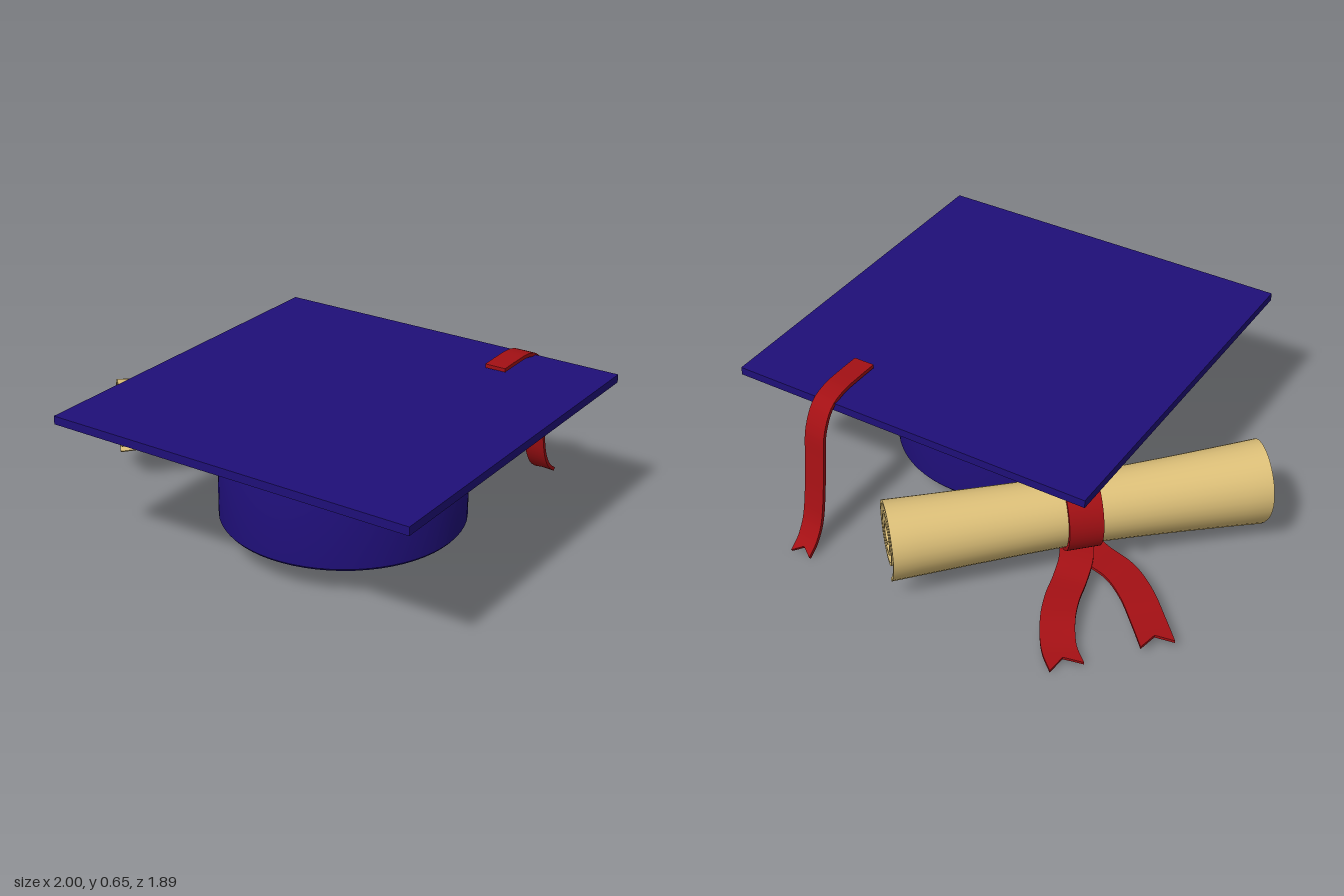
import * as THREE from 'three';
import { toCreasedNormals } from 'three/addons/utils/BufferGeometryUtils.js';

const V = (x, y, z) => new THREE.Vector3(x, y, z);
const UP = V(0, 1, 0);
const material = (color) => new THREE.MeshStandardMaterial({ color, side: THREE.DoubleSide });

function addMesh(parent, name, geometry, mat) {
  const mesh = new THREE.Mesh(geometry, mat);
  mesh.name = name;
  parent.add(mesh);
  return mesh;
}

// Flat ribbon swept along a curve; notch is the part of the length cut as a V at the end
function ribbon(curve, halfWidth, { side = null, notch = 0, thickness = 0.016, segments = 40 } = {}) {
  const positions = [], index = [];
  const section = [[-1, 1], [0, 1], [1, 1], [1, -1], [0, -1], [-1, -1]];
  const rows = segments + 3;
  for (let i = 0; i < rows; i++) {
    const t = Math.min(Math.max((i - 1) / segments, 0), 1);
    const half = i === 0 || i === rows - 1 ? 0 : thickness / 2; // pinched rows close the ends
    for (const [across, out] of section) {
      const u = across === 0 ? Math.min(t, 1 - notch) : t;
      const tangent = curve.getTangentAt(u);
      const s = side ? side.clone() : tangent.clone().cross(UP).normalize();
      const n = s.clone().cross(tangent).normalize();
      const p = curve.getPointAt(u).addScaledVector(s, across * halfWidth).addScaledVector(n, out * half);
      positions.push(p.x, p.y, p.z);
    }
  }
  for (let i = 0; i < rows - 1; i++) {
    for (let j = 0; j < 6; j++) {
      const a = i * 6 + j, b = i * 6 + ((j + 1) % 6);
      index.push(a, b, a + 6, b, b + 6, a + 6);
    }
  }
  const geometry = new THREE.BufferGeometry();
  geometry.setAttribute('position', new THREE.Float32BufferAttribute(positions, 3));
  geometry.setIndex(index);
  return toCreasedNormals(geometry, 0.7);
}

// Rolled sheet: a thick spiral with a loose outer flap, extruded and pinched in the middle
function scrollGeometry() {
  const line = [[0.055, -0.195], [0.085, -0.162], [0.115, -0.122], [0.136, -0.088]]
    .map(([x, y]) => new THREE.Vector2(x, y));
  const turns = 2.9, steps = 90;
  for (let i = 0; i <= steps; i++) {
    const k = i / steps, angle = -0.35 + k * turns * Math.PI * 2;
    const r = 0.158 - k * 0.125;
    line.push(new THREE.Vector2(Math.cos(angle) * r, Math.sin(angle) * r));
  }
  const offset = (d) => line.map((p, i) => {
    const dir = line[Math.min(i + 1, line.length - 1)].clone().sub(line[Math.max(i - 1, 0)]).normalize();
    return new THREE.Vector2(p.x + dir.y * d, p.y - dir.x * d);
  });
  const shape = new THREE.Shape([...offset(0.007), ...offset(-0.007).reverse()]);
  const length = 1.5;
  const geometry = new THREE.ExtrudeGeometry(shape, { depth: length, steps: 14, bevelEnabled: false });
  geometry.translate(0, 0, -length / 2);
  const pos = geometry.attributes.position;
  for (let i = 0; i < pos.count; i++) {
    const k = pos.getZ(i) / (length / 2);
    const scale = 0.82 + (k < 0 ? 0.19 : 0.12) * Math.pow(Math.abs(k), 1.4);
    pos.setXY(i, pos.getX(i) * scale, pos.getY(i) * scale);
  }
  return toCreasedNormals(geometry, 0.7);
}

export function createModel() {
  const model = new THREE.Group();
  model.name = 'graduationCapAndScroll';
  const navy = material(0x1f0f78), red = material(0xa31014), parchment = material(0xdcbf78);

  // Cap: square board over a hollow round crown
  const cap = new THREE.Group();
  cap.name = 'cap';
  cap.position.set(0.214, 0, 0.157);
  model.add(cap);
  addMesh(cap, 'board', new THREE.BoxGeometry(1.57, 0.034, 1.57), navy).position.y = 0.613;
  const crownProfile = [[0, 0.575], [0.465, 0.575], [0.465, 0.135], [0.472, 0.125], [0.487, 0.125],
    [0.495, 0.135], [0.495, 0.58], [0.485, 0.597]].map(([x, y]) => new THREE.Vector2(x, y));
  addMesh(cap, 'crown', toCreasedNormals(new THREE.LatheGeometry(crownProfile, 64), 0.6), navy);

  // Tassel: strip lying on the board and hanging over its back edge
  const tasselPath = new THREE.CatmullRomCurve3([
    [0.648, -0.37], [0.65, -0.46], [0.646, -0.57], [0.618, -0.645], [0.53, -0.7], [0.4, -0.722],
    [0.24, -0.745], [0.12, -0.775], [0.05, -0.82], [0.015, -0.868],
  ].map(([y, z]) => V(0.585, y, z)));
  addMesh(model, 'tassel', ribbon(tasselPath, 0.045, { side: V(1, 0, 0), notch: 0.035 }), red);

  // Scroll lying diagonally behind the cap, tied by a band
  const scroll = new THREE.Group();
  scroll.name = 'scroll';
  scroll.position.set(-0.36, 0.285, -0.31);
  scroll.rotation.y = Math.PI * 0.75;
  model.add(scroll);
  addMesh(scroll, 'rolledSheet', scrollGeometry(), parchment);
  const loop = [];
  for (let i = 0; i < 16; i++) {
    const a = (i / 16) * Math.PI * 2;
    loop.push(V(Math.cos(a) * 0.142, Math.sin(a) * 0.158 - 0.015, 0));
  }
  addMesh(scroll, 'ribbonBand',
    ribbon(new THREE.CatmullRomCurve3(loop, true), 0.068, { side: V(0, 0, 1), segments: 48 }), red);

  // Ribbon tails spreading out from under the band
  const tails = [
    [[-0.35, 0.112, -0.3], [-0.46, 0.095, -0.335], [-0.58, 0.075, -0.355], [-0.69, 0.07, -0.425],
      [-0.8, 0.057, -0.525], [-0.885, 0.052, -0.61]],
    [[-0.35, 0.112, -0.3], [-0.41, 0.1, -0.4], [-0.44, 0.08, -0.5], [-0.465, 0.075, -0.6],
      [-0.505, 0.065, -0.7], [-0.57, 0.035, -0.8], [-0.64, 0.022, -0.86]],
  ];
  tails.forEach((points, i) => {
    const path = new THREE.CatmullRomCurve3(points.map((p) => V(...p)));
    addMesh(model, `ribbonTail${i + 1}`, ribbon(path, 0.067, { notch: 0.07, thickness: 0.012 }), red);
  });

  return model;
}
